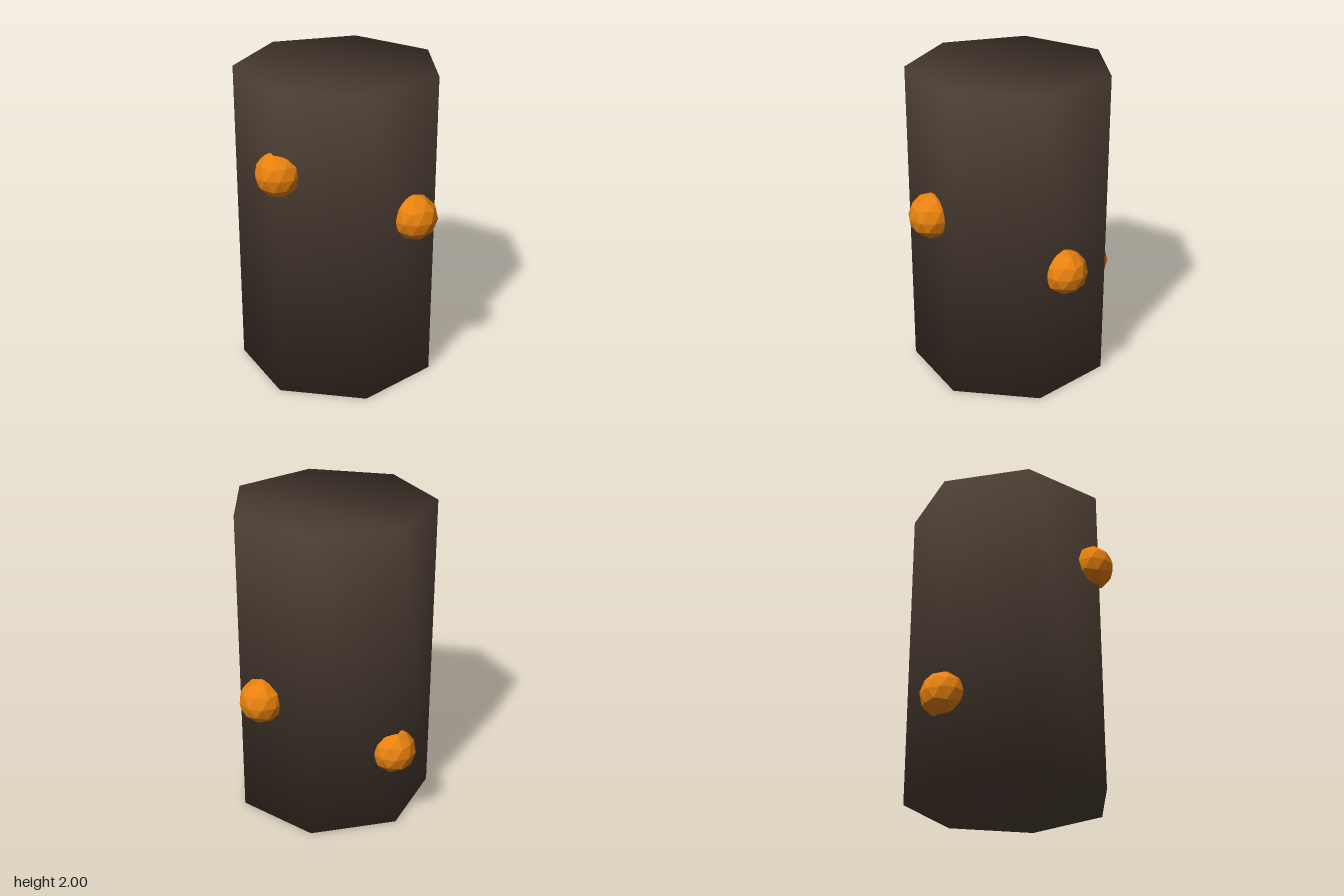
import * as THREE from 'three';

const RADIUS = 0.642, HEIGHT = 2, SIDES = 7;

const bark = new THREE.MeshStandardMaterial({ color: 0x4a3c32 });
bark.name = 'dark brown';
const glow = new THREE.MeshStandardMaterial({ color: 0xe8820f, flatShading: true });
glow.name = 'orange';

// Seven-sided prism with one corner at the back and soft corner normals
function prismGeometry() {
  const points = [];
  for (let i = 0; i < SIDES; i++) {
    const a = Math.PI / 2 + (i / SIDES) * Math.PI * 2;
    points.push(new THREE.Vector2(Math.cos(a) * RADIUS, Math.sin(a) * RADIUS));
  }
  const geo = new THREE.ExtrudeGeometry(new THREE.Shape(points), {
    depth: HEIGHT, bevelEnabled: false, steps: 1,
  });
  geo.rotateX(-Math.PI / 2);

  // Caps and sides share the averaged normal of their corner
  const pos = geo.attributes.position, nor = geo.attributes.normal;
  const n = new THREE.Vector3();
  for (let i = 0; i < pos.count; i++) {
    const up = pos.getY(i) > HEIGHT / 2 ? 0.62 : -0.62;
    n.set((pos.getX(i) / RADIUS) * 0.78, up, (pos.getZ(i) / RADIUS) * 0.78).normalize();
    nor.setXYZ(i, n.x, n.y, n.z);
  }
  return geo;
}

export function createModel() {
  const model = new THREE.Group();
  model.name = 'studdedColumn';

  const column = new THREE.Mesh(prismGeometry(), bark);
  column.name = 'column';
  column.position.x = -0.007;
  model.add(column);

  // Faceted balls, standing on a vertex, spiralling down around the column
  const ball = new THREE.IcosahedronGeometry(0.143, 1);
  ball.rotateZ(Math.atan(2 / (1 + Math.sqrt(5))));
  ball.rotateY(Math.PI);
  const spots = {
    rightBall: [-0.59, 1.48, 0.125],
    frontBall: [0.077, 1.163, 0.6],
    leftBall: [0.588, 0.845, -0.04],
    backBall: [-0.008, 0.523, -0.602],
  };
  for (const [name, spot] of Object.entries(spots)) {
    const mesh = new THREE.Mesh(ball, glow);
    mesh.name = name;
    mesh.position.set(...spot);
    model.add(mesh);
  }
  return model;
}
